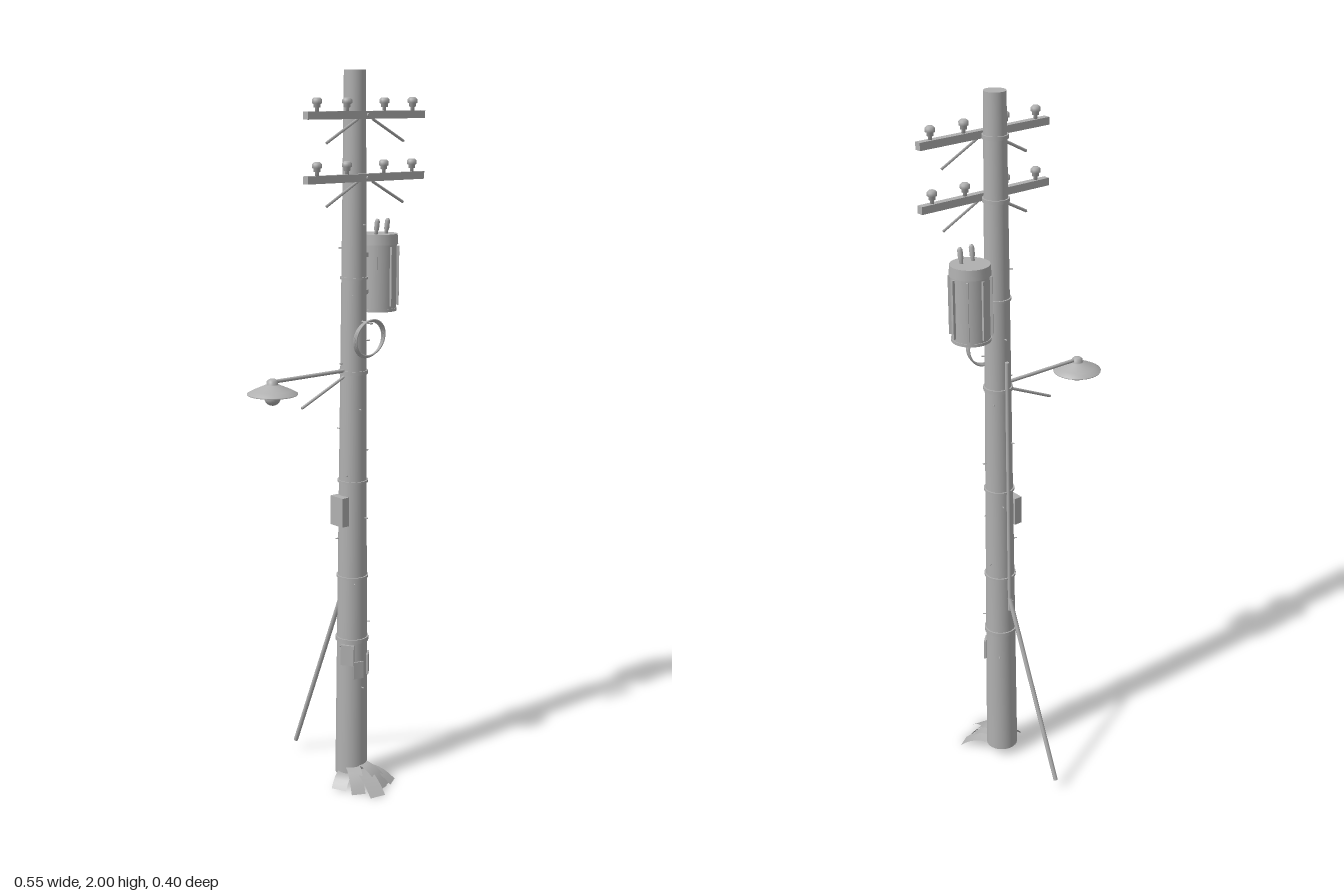
import * as THREE from 'three';

const PX = 0.07, PZ = 0.058; // pole axis
const BASE = 0.03, TOP = 2, R0 = 0.046, R1 = 0.029;
const poleRadius = (y) => R0 + (R1 - R0) * (y - BASE) / (TOP - BASE);

export function createModel() {
  const model = new THREE.Group();
  const grey = new THREE.MeshStandardMaterial({ color: 0xb0b0b0 });
  grey.name = 'grey';
  grey.side = THREE.DoubleSide;

  const add = (name, geometry, x = 0, y = 0, z = 0, parent = model) => {
    const mesh = new THREE.Mesh(geometry, grey);
    mesh.name = name;
    mesh.position.set(x, y, z);
    parent.add(mesh);
    return mesh;
  };
  const lathe = (pts, segments = 24) =>
    new THREE.LatheGeometry(pts.map(([r, y]) => new THREE.Vector2(r, y)), segments);
  // Round or square bar between two points
  const bar = (name, a, b, r, sides = 10) => {
    const p = new THREE.Vector3(...a), q = new THREE.Vector3(...b);
    const mesh = add(name, new THREE.CylinderGeometry(r, r, p.distanceTo(q), sides));
    mesh.position.copy(p).add(q).multiplyScalar(0.5);
    mesh.quaternion.setFromUnitVectors(new THREE.Vector3(0, 1, 0), q.sub(p).normalize());
    return mesh;
  };
  // Part fixed to the pole surface; angle runs from +z towards +x
  const onPole = (name, geometry, angle, y, out) => {
    const r = poleRadius(y) + out;
    const mesh = add(name, geometry, PX + Math.sin(angle) * r, y, PZ + Math.cos(angle) * r);
    mesh.rotation.y = angle;
    return mesh;
  };

  // Tapered pole with metal bands
  add('pole', new THREE.CylinderGeometry(R1, R0, TOP - BASE, 32), PX, (TOP + BASE) / 2, PZ);
  const bands = [[0.44, 0.012], [0.625, 0.006], [0.9, 0.006], [1.205, 0.01],
    [1.46, 0.006], [1.725, 0.01], [1.887, 0.01]];
  for (const [y, h] of bands) {
    const r = poleRadius(y) + 0.004;
    add('band', new THREE.CylinderGeometry(r, r, h, 32), PX, y, PZ);
  }

  // Crossarms with insulators and angled braces
  const insulator = lathe([[0, 0], [0.005, 0], [0.005, 0.009], [0.009, 0.01], [0.009, 0.018],
    [0.013, 0.02], [0.013, 0.029], [0.008, 0.034], [0, 0.034]], 16);
  for (const y of [1.886, 1.726]) {
    add('crossarm', new THREE.BoxGeometry(0.408, 0.02, 0.019), 0.071, y, 0.101);
    for (const x of [-0.095, 0.006, 0.135, 0.237]) add('insulator', insulator, x, y + 0.01, 0.101);
    for (const s of [-1, 1]) {
      bar('crossarmBrace', [PX + s * 0.135, y - 0.069, 0.102], [PX + s * 0.025, y - 0.01, 0.099], 0.004, 4);
    }
    const bolt = add('crossarmBolt', new THREE.CylinderGeometry(0.005, 0.005, 0.03, 8), PX, y, 0.1);
    bolt.rotation.x = Math.PI / 2;
  }

  // Transformer can with lid, ribs and bushings
  const transformer = new THREE.Group();
  transformer.name = 'transformer';
  transformer.position.set(0.157, 1.365, 0.057);
  model.add(transformer);
  add('can', new THREE.CylinderGeometry(0.051, 0.051, 0.18, 32), 0, 0.092, 0, transformer);
  add('canFoot', new THREE.CylinderGeometry(0.053, 0.053, 0.008, 32), 0, 0.004, 0, transformer);
  add('lid', new THREE.CylinderGeometry(0.053, 0.055, 0.028, 32), 0, 0.194, 0, transformer);
  for (let i = 0; i < 8; i++) {
    const a = i * Math.PI / 4;
    const rib = add('rib', new THREE.BoxGeometry(0.005, 0.16, 0.012),
      Math.sin(a) * 0.052, 0.095, Math.cos(a) * 0.052, transformer);
    rib.rotation.y = a;
  }
  const bushing = lathe([[0, -0.005], [0.005, -0.005], [0.005, 0.01], [0.007, 0.012],
    [0.007, 0.035], [0.004, 0.041], [0, 0.041]], 12);
  for (const x of [-0.022, 0.015]) {
    add('bushing', bushing, x, 0.208, 0.016, transformer).rotation.x = 0.15;
  }
  for (const y of [1.42, 1.52]) {
    add('transformerBracket', new THREE.BoxGeometry(0.03, 0.012, 0.03), 0.108, y, PZ);
  }

  // Coil of spare wire, leaning off the front of the pole
  for (let i = 0; i < 3; i++) {
    const coil = add('wireCoil', new THREE.TorusGeometry(0.05, 0.0025, 8, 40),
      PX + (i - 1) * 0.001, 1.303 + (i - 1) * 0.002, 0.118 + i * 0.004);
    coil.rotation.x = 0.1 + i * 0.03;
  }
  bar('coilHook', [PX, 1.345, PZ + 0.03], [PX, 1.345, 0.132], 0.003, 8);

  // Street lamp on a side arm
  bar('lampArm', [PX - 0.03, 1.211, 0.058], [-0.21, 1.211, 0.058], 0.005);
  bar('lampBrace', [-0.112, 1.127, 0.058], [0.04, 1.196, 0.058], 0.004);
  add('lampShade', lathe([[0.066, 0], [0.067, 0.003], [0.05, 0.012], [0.018, 0.026], [0.015, 0.028],
    [0.015, 0.036], [0.009, 0.041], [0, 0.041]], 36), -0.21, 1.177, 0.057);
  add('lampCollar', new THREE.CylinderGeometry(0.02, 0.022, 0.016, 20), -0.21, 1.182, 0.057);
  add('bulb', new THREE.SphereGeometry(0.022, 20, 14), -0.21, 1.17, 0.057);

  // Conduit up the back and the slanted stay below it
  bar('conduit', [PX, 0.52, 0.014], [PX, 1.29, 0.018], 0.006);
  bar('stay', [PX, 0.56, 0.015], [PX, 0.036, -0.195], 0.0065);

  // Meter box and small notice plates
  onPole('meterBox', new THREE.BoxGeometry(0.05, 0.082, 0.024), -Math.PI / 2, 0.82, 0.008);
  onPole('notice', new THREE.BoxGeometry(0.038, 0.06, 0.006), -1.0, 0.4, 0.002);
  onPole('notice', new THREE.BoxGeometry(0.034, 0.06, 0.006), 0.75, 0.365, 0.002);
  onPole('notice', new THREE.BoxGeometry(0.03, 0.05, 0.005), -0.3, 0.355, 0.001);

  // Scattered nails
  for (let i = 0; i < 22; i++) {
    const y = 0.3 + i * 0.062;
    const nail = onPole('nail', new THREE.CylinderGeometry(0.002, 0.002, 0.012, 6), i * 2.4, y, 0.003);
    nail.rotation.set(Math.PI / 2, 0, -i * 2.4);
  }

  // Loose curled sheets at the foot: angle, outer reach, width, top height, twist
  const sheets = [[-0.12, 0.14, 0.048, 0.05, -0.22], [0.73, 0.122, 0.042, 0.045, -0.5],
    [-0.55, 0.108, 0.04, 0.06, 0.2], [-1.15, 0.085, 0.045, 0.04, 0],
    [0.22, 0.112, 0.038, 0.064, 0.1], [0.48, 0.11, 0.034, 0.055, -0.2]];
  for (const [angle, reach, width, top, twist] of sheets) {
    const inner = 0.04, length = reach - inner;
    const g = new THREE.PlaneGeometry(width, length, 2, 5).rotateX(-Math.PI / 2);
    const p = g.attributes.position;
    for (let i = 0; i < p.count; i++) {
      const t = p.getZ(i) / length + 0.5;
      p.setY(i, top - (top - 0.005) * t * t + p.getX(i) * twist * 0.5 * (1 - t));
    }
    g.computeVertexNormals();
    const r = inner + length / 2;
    add('looseSheet', g, PX + Math.sin(angle) * r, 0, PZ + Math.cos(angle) * r)
      .rotation.y = angle + twist * 0.4;
  }
  return model;
}
